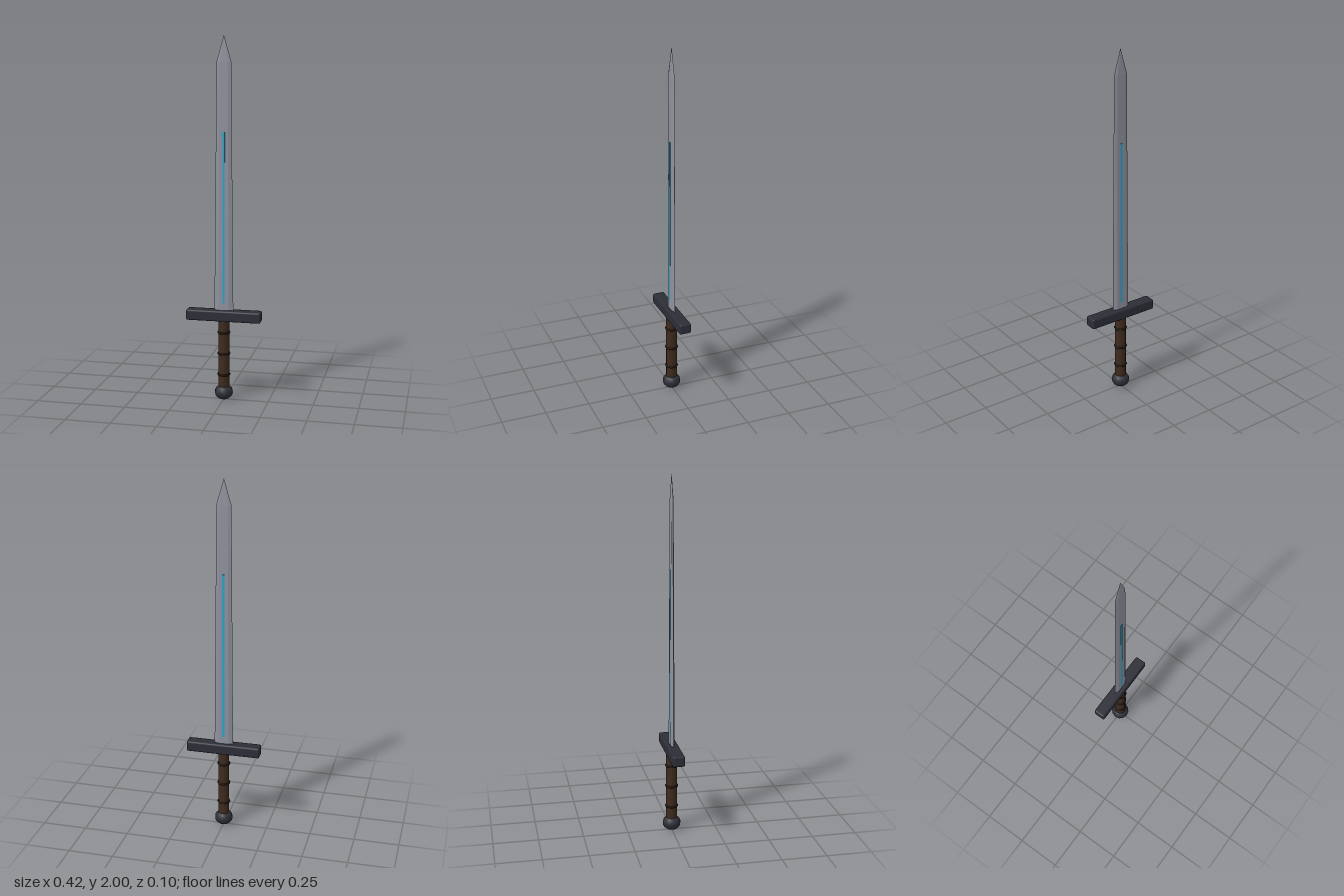
import * as THREE from 'three';
import { RoundedBoxGeometry } from 'three/addons/geometries/RoundedBoxGeometry.js';

const mat = (name, color, extra = {}) => new THREE.MeshStandardMaterial({ name, color, ...extra });

// Hexagonal blade: cross-sections [y, half width, half thickness] closed by a pointed tip
function bladeGeometry() {
  const sections = [[0.5, 0.053, 0.011], [1.86, 0.04, 0.006]];
  const rings = sections.map(([y, w, t]) => [
    [w, y, 0], [w * 0.55, y, t], [-w * 0.55, y, t],
    [-w, y, 0], [-w * 0.55, y, -t], [w * 0.55, y, -t],
  ]);
  const tip = [0, 2, 0];
  const pos = [];
  for (let i = 0; i < 6; i++) {
    const j = (i + 1) % 6;
    const [a, b, c, d] = [rings[0][i], rings[0][j], rings[1][j], rings[1][i]];
    pos.push(...a, ...c, ...b, ...a, ...d, ...c, ...d, ...tip, ...c);
  }
  // Angles run from +x towards +z, so the outward winding is a, d, c, b
  const g = new THREE.BufferGeometry();
  g.setAttribute('position', new THREE.Float32BufferAttribute(pos, 3));
  g.computeVertexNormals();
  return g;
}

export function createModel() {
  const model = new THREE.Group();
  model.name = 'sword';
  const steel = mat('steel', 0x8e919d, { flatShading: true });
  const darkMetal = mat('dark metal', 0x2d2d37);
  const leather = mat('brown leather', 0x3e2a1d);
  const cord = mat('dark cord', 0x211813);
  const blue = mat('blue inlay', 0x2ba3c6);

  const add = (name, geometry, material, y = 0, z = 0) => {
    const mesh = new THREE.Mesh(geometry, material);
    mesh.name = name;
    mesh.position.set(0, y, z);
    model.add(mesh);
    return mesh;
  };

  add('blade', bladeGeometry(), steel);

  // Inlay strips on both faces, emerging as the blade thins upwards
  for (const side of [1, -1]) {
    add(side > 0 ? 'frontInlay' : 'backInlay',
      new THREE.BoxGeometry(0.013, 0.94, 0.004), blue, 1.02, side * 0.009);
  }

  add('crossguard', new RoundedBoxGeometry(0.416, 0.06, 0.068, 2, 0.01), darkMetal, 0.48);

  // Grip with three binding rings
  add('grip', new THREE.CylinderGeometry(0.031, 0.031, 0.39, 12), leather, 0.265);
  for (const y of [0.145, 0.265, 0.385]) {
    const ring = add('gripRing', new THREE.TorusGeometry(0.031, 0.006, 6, 16), cord, y);
    ring.rotation.x = Math.PI / 2;
  }

  const pommel = add('pommel', new THREE.SphereGeometry(0.051, 12, 10), darkMetal, 0.043);
  pommel.scale.y = 0.84;
  return model;
}
